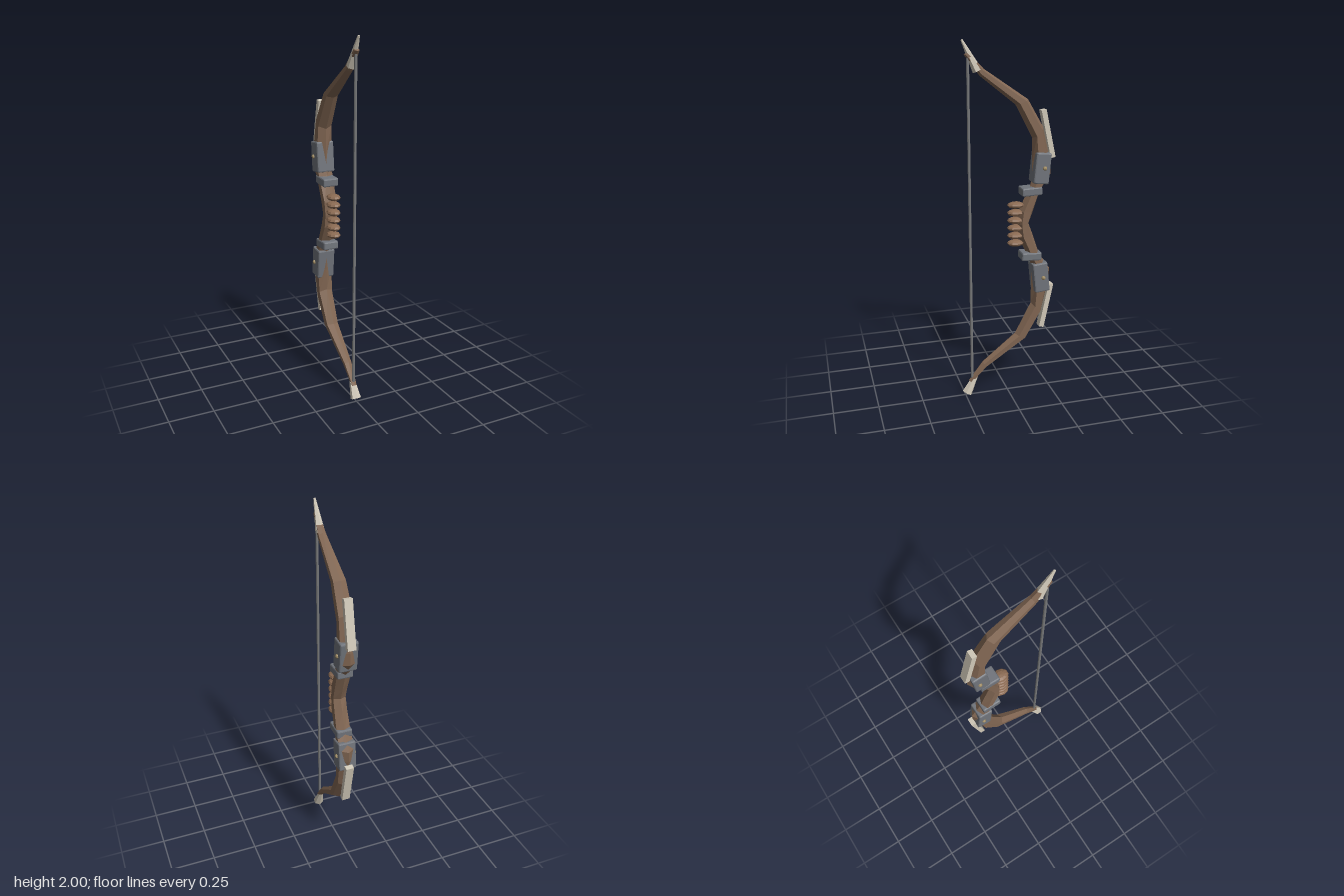
import * as THREE from 'three';
import { RoundedBoxGeometry } from 'three/addons/geometries/RoundedBoxGeometry.js';

const material = (name, color) => {
  const m = new THREE.MeshStandardMaterial({ color, flatShading: true });
  m.name = name;
  return m;
};

const MID = 1.006; // height of the plane that mirrors the upper half onto the lower

// Hexagonal stave through sections [innerY, innerZ, outerY, outerZ, halfWidth]
function staveGeometry(sections) {
  const pos = [], index = [], n = 6, last = (sections.length - 1) * n;
  for (const [iy, iz, oy, oz, w] of sections) {
    for (let i = 0; i < n; i++) {
      const a = (i / n) * Math.PI * 2, c = Math.cos(a) / 2;
      pos.push(w * Math.sin(a) / 0.866, (iy + oy) / 2 + (iy - oy) * c, (iz + oz) / 2 + (iz - oz) * c);
    }
  }
  for (let r = 0; r < last; r += n) {
    for (let i = 0; i < n; i++) {
      const k = (i + 1) % n;
      index.push(r + i, r + k, r + n + k, r + i, r + n + k, r + n + i);
    }
  }
  for (let i = 1; i < n - 1; i++) {
    index.push(last, last + i, last + i + 1, 0, i + 1, i);
  }
  const g = new THREE.BufferGeometry();
  g.setAttribute('position', new THREE.Float32BufferAttribute(pos, 3));
  g.setIndex(index);
  const flat = g.toNonIndexed();
  flat.computeVertexNormals();
  return flat;
}

export function createModel() {
  const wood = material('wood', 0x826753);
  const leather = material('leather', 0x8a6a52);
  const metal = material('dark metal', 0x70747b);
  const bone = material('bone', 0xd0c8b8);
  const brass = material('brass', 0xa08c64);
  const cord = material('bowstring cord', 0x767778);

  const bow = new THREE.Group();
  bow.name = 'bow';
  const add = (name, geometry, mat, x, y, z, tilt = 0) => {
    const m = new THREE.Mesh(geometry, mat);
    m.name = name;
    m.position.set(x, y, z);
    m.rotation.x = tilt;
    bow.add(m);
    return m;
  };

  // Stave: upper half from grip to tip, mirrored below
  const upper = [
    [1.08, -0.064, 1.075, -0.148, 0.037],
    [1.22, -0.13, 1.19, -0.186, 0.041],
    [1.255, -0.14, 1.28, -0.248, 0.043],
    [1.355, -0.14, 1.345, -0.245, 0.043],
    [1.48, -0.14, 1.54, -0.2, 0.04],
    [1.662, -0.045, 1.688, -0.115, 0.034],
    [1.815, 0.148, 1.851, 0.126, 0.021],
    [1.922, 0.23, 1.935, 0.208, 0.013],
  ];
  const lower = upper.map(([iy, iz, oy, oz, w]) => [2 * MID - iy, iz, 2 * MID - oy, oz, w]).reverse();
  add('stave', staveGeometry([...lower, [MID, -0.06, MID, -0.122, 0.036], ...upper]), wood, 0, 0, 0);

  // Fittings on both limbs
  const clampGeo = new RoundedBoxGeometry(0.102, 0.172, 0.087, 1, 0.008);
  const bandGeo = new RoundedBoxGeometry(0.09, 0.047, 0.114, 1, 0.008);
  const plateGeo = new THREE.BoxGeometry(0.046, 0.265, 0.028);
  const rivetGeo = new THREE.SphereGeometry(0.012, 8, 6);
  for (const s of [1, -1]) {
    const side = s > 0 ? 'upper' : 'lower';
    add(side + 'Clamp', clampGeo, metal, 0, MID + s * 0.313, -0.187, -0.1 * s);
    add(side + 'Band', bandGeo, metal, 0, MID + s * 0.186, -0.132, 0.04 * s);
    add(side + 'BackPlate', plateGeo, bone, 0, MID + s * 0.495, -0.226, 0.21 * s);
    for (const x of [-0.051, 0.051]) add(side + 'Rivet', rivetGeo, brass, x, MID + s * 0.314, -0.198);
  }

  // Grip ridges along the front of the handle
  const ridgeGeo = new THREE.SphereGeometry(0.038, 10, 6).scale(1, 0.5, 1.25);
  for (let i = 0; i < 6; i++) add('gripRidge', ridgeGeo, leather, 0, MID + (i - 2.5) * 0.0435, -0.048);

  // Bone tips: both taper upwards, the lower one flares wider
  const tip = (base) => new THREE.CylinderGeometry(0.006, base, 0.175, 6);
  add('upperTip', tip(0.026), bone, 0, 1.919, 0.2, 0.476);
  add('lowerTip', tip(0.03), bone, 0, 0.092, 0.2, -0.476);

  // Bowstring
  const string = new THREE.CylinderGeometry(0.008, 0.008, 1.84, 12);
  add('bowstring', string, cord, 0, MID, 0.21);

  return bow;
}
